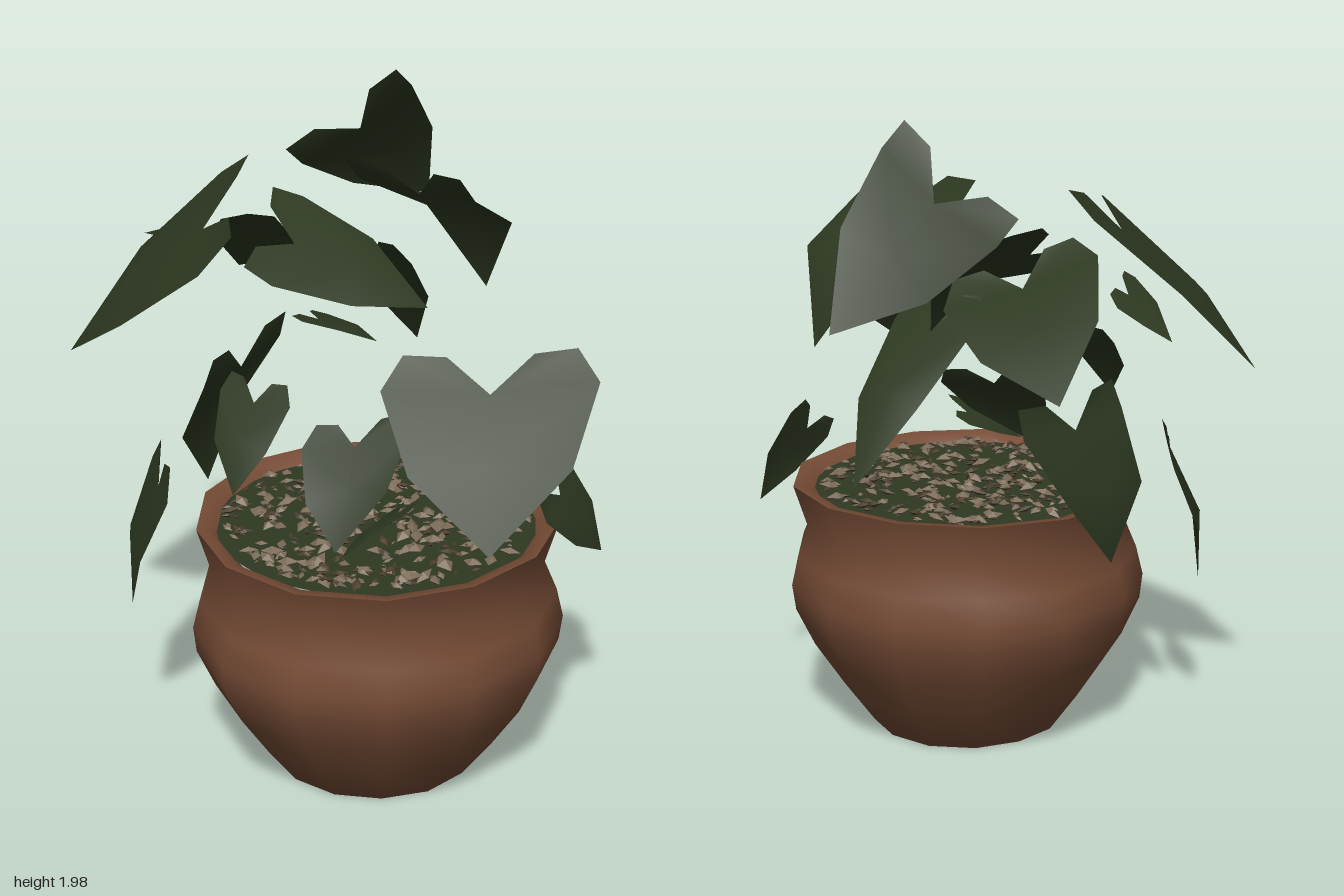
import * as THREE from 'three';
import { mergeGeometries, toCreasedNormals } from 'three/addons/utils/BufferGeometryUtils.js';

const mat = (name, color) => Object.assign(new THREE.MeshStandardMaterial({ color }), { name });
const CX = 0.12, CZ = 0.21; // pot axis

function makeRandom(seed) {
  return () => (seed = (seed * 16807) % 2147483647) / 2147483647;
}

// Heart-shaped leaf: notch, tip and half-width vector, with lobe width and arch
function leafGeometry([notch, tip, side, lobe = 0.78, arch = 0.04]) {
  const base = new THREE.Vector3(...notch);
  const axis = new THREE.Vector3(...tip).sub(base);
  const across = new THREE.Vector3(...side);
  const up = axis.clone().cross(across).normalize();
  if (up.y < 0) up.negate();
  const len = axis.length();
  // [along, across, lift]
  const half = [[-0.24, lobe * 0.5, 0.02], [-0.27, lobe, 0], [-0.05, 1, 0], [0.5, 0.74, arch]];
  const outline = [
    [0, 0, 0], [0.45, 0, arch + 0.05], [1, 0, 0],
    ...half, ...half.map(([u, v, h]) => [u, -v, h]),
  ];
  const pos = outline.flatMap(([u, v, h]) => base.clone()
    .addScaledVector(axis, u).addScaledVector(across, v).addScaledVector(up, h * len).toArray());
  const geo = new THREE.BufferGeometry();
  geo.setAttribute('position', new THREE.Float32BufferAttribute(pos, 3));
  geo.setIndex([
    0, 3, 4, 0, 4, 5, 0, 5, 1, 1, 5, 6, 1, 6, 2,
    0, 8, 7, 0, 9, 8, 0, 1, 9, 1, 10, 9, 1, 2, 10,
  ]);
  geo.computeVertexNormals();
  return geo;
}

const upperLeaves = [
  [[-0.2, 1.77, -0.39], [-0.13, 1.46, -0.77], [0.16, 0.13, -0.05], 1, 0.05],
  [[0.12, 1.69, -0.1], [0.21, 1.31, -0.42], [0.21, 0.01, 0.06], 1, 0.2],
  [[0.57, 1.35, 0.46], [0.68, 1, 0.73], [0.27, 0.01, -0.13], 0.8],
  [[-0.41, 1.62, 0.25], [-0.79, 1.23, 0.39], [0.1, -0.06, 0.27], 0.8],
  [[-0.32, 1.5, -0.13], [-0.63, 1.26, -0.4], [0.15, -0.07, -0.17]],
  [[-0.58, 1.49, 0.02], [-0.83, 1.42, -0.15], [0.04, 0.02, 0.11]],
  [[-0.2, 1.55, 0.08], [0.2, 1.39, 0.02], [0.03, -0.08, 0.17], 0.9],
];
const lowerLeaves = [
  [[-0.12, 1.38, -0.3], [-0.12, 1, -0.66], [0.14, 0, 0], 0.8, 0.06],
  [[-0.12, 1.33, 0.09], [0.07, 1.29, 0.09], [0, 0.02, 0.09]],
  [[0.11, 1.06, 0.34], [0.15, 0.83, 0.56], [0.12, 0, -0.11], 0.8],
  [[0.28, 0.92, 0.43], [0.17, 0.82, 0.58], [0.05, 0.03, 0.04]],
  [[0.64, 0.89, 0.06], [0.73, 0.67, -0.07], [0, -0.06, 0.09]],
  [[-0.44, 1.08, -0.03], [-0.55, 0.69, 0], [-0.01, 0, 0.24], 0.95, 0.12],
  [[-0.47, 0.88, 0.46], [-0.545, 0.5, 0.51], [0.1, 0, 0.14], 0.6, 0.08],
  [[-0.14, 1.21, 0.48], [-0.12, 1, 0.66], [0.12, 0, 0.02], 0.8, 0.08],
];

export function createModel() {
  const group = new THREE.Group();
  const clay = mat('terracotta', 0x754b35);
  const green = mat('leaf green', 0x2c3720);
  green.side = THREE.DoubleSide;
  const moss = mat('moss', 0x2d3821);
  const stone = mat('pebble', 0x7b6b58);
  const bark = mat('bark chip', 0x4c3e2e);

  const add = (name, geo, material) => {
    const mesh = new THREE.Mesh(geo, material);
    mesh.name = name;
    group.add(mesh);
    return mesh;
  };

  // Rounded pot with a pinched neck and flared rim, slightly uneven as if thrown by hand
  const profile = [
    [0, 0], [0.3, 0], [0.395, 0.13], [0.487, 0.27], [0.543, 0.39], [0.553, 0.47],
    [0.532, 0.56], [0.495, 0.65], [0.538, 0.79], [0.5, 0.785], [0.455, 0.735],
  ].map(([r, y]) => new THREE.Vector2(r, y));
  const potGeo = new THREE.LatheGeometry(profile, 13);
  const p = potGeo.attributes.position;
  for (let i = 0; i < p.count; i++) {
    const a = Math.atan2(p.getZ(i), p.getX(i));
    const k = 1 + 0.012 * Math.sin(3 * a + 1 + p.getY(i) * 3);
    p.setX(i, p.getX(i) * k);
    p.setZ(i, p.getZ(i) * k * 1.02);
  }
  add('pot', toCreasedNormals(potGeo, 1.1), clay).position.set(CX, 0, CZ);

  // Soil surface
  const soil = add('soil', new THREE.CircleGeometry(0.475, 26).rotateX(-Math.PI / 2), moss);
  soil.position.set(CX, 0.764, CZ);

  // Scattered pebbles and bark chips
  const rnd = makeRandom(77);
  const scatter = (count, size, stretch) => mergeGeometries(Array.from({ length: count }, () => {
    const r = 0.45 * Math.sqrt(rnd()), a = rnd() * Math.PI * 2, s = size * (0.5 + rnd());
    return new THREE.OctahedronGeometry(1, 0)
      .scale(s * stretch, s * 0.5, s * (0.5 + 0.4 * rnd()))
      .rotateZ((rnd() - 0.5) * 0.7)
      .rotateY(rnd() * Math.PI * 2)
      .translate(CX + r * Math.cos(a), 0.772 + rnd() * 0.014, CZ + r * Math.sin(a));
  }));
  add('pebbles', scatter(230, 0.021, 1.2), stone);
  add('barkChips', scatter(200, 0.013, 1.7), bark);

  // Foliage
  const foliage = (name, list) => list.forEach((l, i) => add(name + (i + 1), leafGeometry(l), green));
  foliage('upperLeaf', upperLeaves);
  foliage('lowerLeaf', lowerLeaves);
  return group;
}
